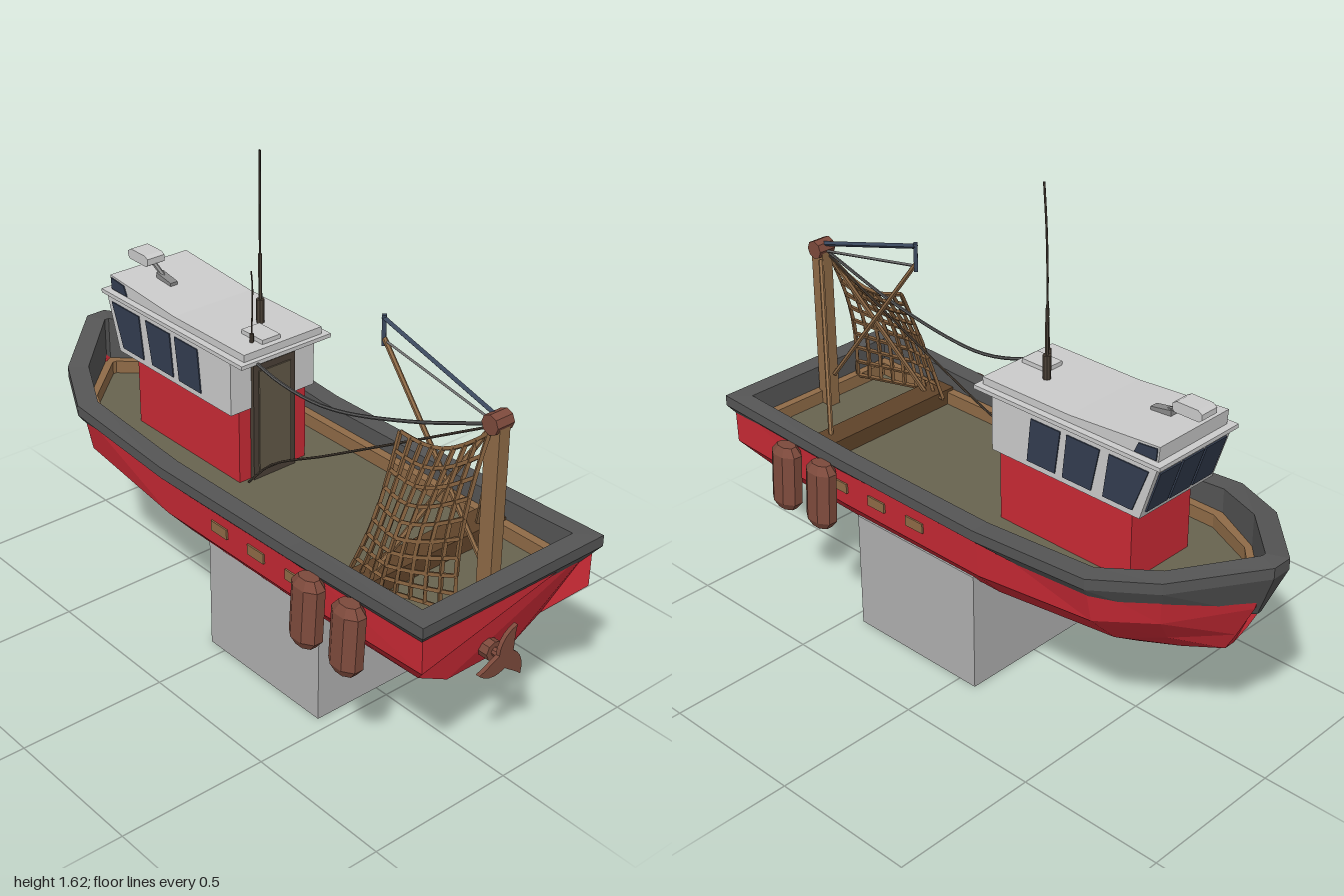
import * as THREE from 'three';

const RED = 0xc92a35, GREY = 0x555555, WOOD = 0x8f6b47, DARK = 0x4a4036, RUST = 0x7d4a3c,
  LIGHT = 0xbdbdbd, GLASS = 0x333d50, BLUE = 0x3a475c, NET = 0x7d5b3a;
const V = (x, y, z) => new THREE.Vector3(x, y, z);

export function createModel() {
  const model = new THREE.Group();

  const add = (name, geo, color, parent = model) => {
    const mat = new THREE.MeshStandardMaterial({ color, flatShading: true, side: THREE.DoubleSide });
    const mesh = new THREE.Mesh(geo, mat);
    mesh.name = name;
    parent.add(mesh);
    return mesh;
  };
  const group = (name) => {
    const g = new THREE.Group();
    g.name = name;
    model.add(g);
    return g;
  };
  // Box from its minimum and maximum corners
  const box = (name, [x0, y0, z0], [x1, y1, z1], color, parent) => add(name,
    new THREE.BoxGeometry(x1 - x0, y1 - y0, z1 - z0)
      .translate((x0 + x1) / 2, (y0 + y1) / 2, (z0 + z1) / 2), color, parent);
  // Straight bar between two points
  const bar = (name, a, b, r, color, parent, sides = 6) => {
    const geo = new THREE.CylinderGeometry(r, r, a.distanceTo(b), sides);
    const mesh = add(name, geo, color, parent);
    mesh.position.copy(a).lerp(b, 0.5);
    mesh.quaternion.setFromUnitVectors(V(0, 1, 0), b.clone().sub(a).normalize());
    return mesh;
  };
  const rope = (name, pts, r, color, parent) => add(name,
    new THREE.TubeGeometry(new THREE.CatmullRomCurve3(pts), 24, r, 6), color, parent);
  // Side profile of [z, y] points, extruded from x0 to x1
  const profile = (name, pts, x0, x1, color, parent) => add(name,
    new THREE.ExtrudeGeometry(new THREE.Shape(pts.map(p => new THREE.Vector2(...p))),
      { depth: x1 - x0, bevelEnabled: false }).rotateY(-Math.PI / 2).translate(x1, 0, 0), color, parent);
  // Skin over a row of closed rings, either looped or capped at the ends
  const skin = (rings, loop) => {
    const pos = [], n = rings[0].length;
    const tri = (...pts) => pts.forEach(p => pos.push(p.x, p.y, p.z));
    const count = loop ? rings.length : rings.length - 1;
    for (let i = 0; i < count; i++) {
      const a = rings[i], b = rings[(i + 1) % rings.length];
      for (let j = 0; j < n; j++) {
        const k = (j + 1) % n;
        tri(a[j], b[j], b[k]);
        tri(a[j], b[k], a[k]);
      }
    }
    if (!loop) for (const r of [rings[0], [...rings.at(-1)].reverse()])
      for (let j = 1; j < n - 1; j++) tri(r[0], r[j], r[j + 1]);
    const geo = new THREE.BufferGeometry();
    geo.setAttribute('position', new THREE.Float32BufferAttribute(pos, 3));
    geo.computeVertexNormals();
    return geo;
  };

  // Display block
  box('standBlock', [-0.24, 0, -0.067], [0.275, 0.412, 0.455], 0xb0b0b0);

  // Hull: each station runs sheer, upper chine, lower chine, keel edge
  const stations = [
    [[.335, .65, .98], [.332, .51, .98], [.245, .4, .88], [.13, .34, .88]],
    [[.345, .64, .45], [.335, .488, .45], [.245, .385, .45], [.125, .315, .45]],
    [[.345, .635, -.15], [.335, .485, -.15], [.245, .385, -.15], [.125, .312, -.15]],
    [[.345, .66, -.58], [.315, .52, -.58], [.21, .41, -.58], [.1, .34, -.58]],
    [[.25, .69, -.78], [.225, .55, -.76], [.15, .45, -.73], [.07, .375, -.72]],
    [[.035, .725, -.97], [.03, .59, -.94], [.025, .47, -.88], [.02, .4, -.84]],
  ];
  const hullRings = stations.map(s => [
    ...s.map(([x, y, z]) => V(x, y, z)), ...[...s].reverse().map(([x, y, z]) => V(-x, y, z))]);
  const hullGeo = skin(hullRings, false);
  // Drop the lid between the two sheer lines so the deck well stays open
  const all = hullGeo.getAttribute('position').array, kept = [];
  const strips = stations.length - 1;
  for (let t = 0; t < all.length / 9; t++) {
    const lid = t < strips * 16 && Math.floor((t % 16) / 2) === 7;
    if (!lid) kept.push(...all.slice(t * 9, t * 9 + 9));
  }
  hullGeo.setAttribute('position', new THREE.Float32BufferAttribute(kept, 3));
  hullGeo.computeVertexNormals();
  add('hull', hullGeo, RED);

  // Rail outline: outer x, z, inner x, z, top y
  const DECK = 0.56;
  const half = [
    [.355, 1, .295, .935, .682], [.357, .45, .295, .45, .662], [.36, -.15, .295, -.15, .656],
    [.36, -.59, .295, -.57, .688], [.26, -.79, .205, -.75, .715], [.035, -1, .008, -.935, .755]];
  const outline = [...half, ...[...half].reverse().map(([a, b, c, d, y]) => [-a, b, -c, d, y])];
  add('bulwarkRail', skin(outline.map(([xo, zo, xi, zi, y]) => [
    V(xo, y, zo), V(xo, y - .036, zo), V(xi, DECK, zi), V(xi, y, zi)]), true), GREY);
  add('innerTrim', skin(outline.map(([, , x, z]) => {
    const xi = x * 0.9, zi = z > 0.9 ? z - .028 : z < -.9 ? z + .035 : z + (z < -.5 ? .012 : 0);
    return [V(x, .605, z), V(x, DECK, z), V(xi, DECK, zi), V(xi, .605, zi)];
  }), true), WOOD);
  const deckShape = new THREE.Shape(outline.map(([, , x, z]) => new THREE.Vector2(x, -z)));
  add('deck', new THREE.ShapeGeometry(deckShape).rotateX(-Math.PI / 2).translate(0, DECK, 0), 0x68634f);
  box('deckBeam', [-.293, DECK, .59], [.293, .615, .68], 0x5f4329);

  // Wheelhouse
  const cabin = group('wheelhouse');
  box('cabinBase', [-.13, DECK, -.57], [.135, .815, -.05], RED, cabin);
  profile('cabinUpper', [[-.045, .81], [-.62, .81], [-.68, .997], [-.045, .997]], -.165, .165, LIGHT, cabin);
  profile('roofEave', [[.022, .995], [-.695, .995], [-.695, 1.008], [.022, 1.008]], -.175, .175, 0xcccccc, cabin);
  profile('roofTop', [[.005, 1], [-.67, 1], [-.675, 1.057], [-.34, 1.032], [.005, 1.032]],
    -.152, .152, 0xcccccc, cabin);
  box('doorFrame', [-.085, DECK, -.06], [.08, .957, -.034], DARK, cabin);
  box('doorPanel', [-.065, .585, -.05], [.06, .935, -.029], 0x615747, cabin);
  // Side panes lean further towards the bow: bottom pair and top pair of z
  const panes = [[-.19, -.3, -.205, -.32], [-.33, -.44, -.345, -.47], [-.485, -.595, -.505, -.65]];
  for (const s of [-1, 1]) {
    for (const [a, b, c, d] of panes)
      profile('sideWindow', [[a, .83], [b, .83], [d, .975], [c, .975]], s * .166 - .003, s * .166 + .003, GLASS, cabin);
    profile('roofSidePanel', [[-.585, 1.012], [-.665, 1.012], [-.668, 1.05], [-.6, 1.044]],
      s * .153 - .003, s * .153 + .003, GLASS, cabin);
  }
  for (const x of [-.102, 0, .102])
    profile('frontWindow', [[-.62, .83], [-.632, .83], [-.678, .972], [-.66, .972]], x - .046, x + .046, GLASS, cabin);

  // Roof fittings
  const fittings = group('roofFittings');
  box('roofHatch', [-.065, 1.03, -.115], [.005, 1.046, -.015], LIGHT, fittings);
  profile('lampFoot', [[-.5, 1.035], [-.575, 1.04], [-.575, 1.068], [-.5, 1.055]], -.043, -.015, 0x8a8a8a, fittings);
  bar('lampArm', V(-.029, 1.055, -.55), V(-.029, 1.095, -.62), .008, 0x8a8a8a, fittings);
  profile('lampHead', [[-.595, 1.088], [-.605, 1.082], [-.69, 1.082], [-.7, 1.09], [-.7, 1.108],
    [-.685, 1.118], [-.61, 1.118], [-.595, 1.11]], -.062, .005, LIGHT, fittings);
  bar('aerialBase', V(.03, 1.02, -.14), V(.03, 1.11, -.14), .013, DARK, fittings, 8);
  bar('aerialCollar', V(.03, 1.1, -.14), V(.03, 1.26, -.14), .006, DARK, fittings);
  rope('tallAerial', [V(.03, 1.22, -.14), V(.028, 1.36, -.138), V(.012, 1.5, -.118), V(-.02, 1.62, -.078)],
    .0035, DARK, fittings);
  bar('smallAerialBase', V(-.078, 1.02, -.05), V(-.078, 1.06, -.05), .007, DARK, fittings);
  rope('smallAerial', [V(-.078, 1.05, -.05), V(-.077, 1.15, -.047), V(-.083, 1.22, -.038), V(-.1, 1.28, -.022)],
    .0025, DARK, fittings);

  // Net gantry
  const gantry = group('gantry');
  box('mastPost', [-.02, DECK, .866], [.02, 1.13, .92], WOOD, gantry);
  bar('mastCap', V(-.032, 1.133, .893), V(.032, 1.133, .893), .031, RUST, gantry, 8);
  bar('boomUpper', V(0, 1.15, .88), V(0, 1.272, .44), .0085, BLUE, gantry, 4);
  bar('boomLower', V(0, 1.125, .88), V(0, 1.205, .44), .005, 0x6b6b6b, gantry, 4);
  bar('boomTip', V(0, 1.187, .443), V(0, 1.282, .443), .009, BLUE, gantry, 4);
  bar('boomBrace', V(0, 1.21, .445), V(0, .68, .86), .008, WOOD, gantry);
  for (const s of [-1, 1])
    bar('strut', V(s * .02, 1.1, .875), V(s * .215, .6, .64), .0085, WOOD, gantry);

  // Rigging
  rope('sternRope', [V(-.01, 1.12, .87), V(-.035, 1.02, .6), V(-.065, .955, .35), V(-.08, .945, .22),
    V(-.1, .968, .09), V(-.115, 1, .015)], .0055, GREY, gantry);
  rope('deckRope', [V(-.01, 1.11, .87), V(-.04, .93, .55), V(-.07, .78, .28), V(-.095, .66, .06), V(-.11, .565, -.03)],
    .004, DARK, gantry);

  // Hanging net: strips between points of a sagging sheet
  const net = group('fishingNet');
  const N = 8;
  const sheet = (u, v) => {
    const top = V(-.025 - .07 * u, 1.1 - .08 * u - .05 * Math.sin(Math.PI * u), .885 - .265 * u);
    const foot = V(-.15 - .08 * Math.min(1, u * 1.6), .6, .915 - .34 * u);
    const p = top.lerp(foot, v), belly = Math.sin(Math.PI * v);
    p.x -= belly * (.035 + .025 * Math.sin(Math.PI * u));
    p.z += belly * .045 * u;
    return p;
  };
  for (let i = 0; i <= N; i++) for (let j = 0; j <= N + 1; j++) {
    const p = sheet(i / N, j / (N + 1));
    if (i < N) bar('netCross', p, sheet((i + 1) / N, j / (N + 1)), .0075, NET, net, 4);
    if (j <= N) bar('netDrop', p, sheet(i / N, (j + 1) / (N + 1)), .0075, NET, net, 4);
  }

  // Fenders and scuppers on both sides
  const fenderProfile = [[0, -.112], [.036, -.112], [.058, -.085], [.058, .085], [.036, .112], [0, .112]]
    .map(p => new THREE.Vector2(...p));
  for (const s of [-1, 1]) {
    for (const z of s > 0 ? [.67, .503] : [.735, .565]) {
      const f = add('fender', new THREE.LatheGeometry(fenderProfile, 8).rotateY(Math.PI / 8).scale(.72, 1, 1.03), RUST);
      f.position.set(s * .382, .522, z);
      f.rotation.z = s * .05;
    }
    for (const z of [.46, .288, .117])
      box('scupper', [s * .341 - .005, .538, z - .037], [s * .341 + .005, .572, z + .037], WOOD);
  }

  // Propeller
  const prop = group('propeller');
  bar('propellerShaft', V(0, .408, .85), V(0, .408, .975), .014, RUST, prop, 8);
  bar('propellerHub', V(0, .408, .87), V(0, .408, .935), .032, RUST, prop, 8);
  const blade = new THREE.Shape();
  blade.moveTo(-.025, 0);
  blade.bezierCurveTo(-.035, .04, -.01, .085, .04, .098);
  blade.bezierCurveTo(.03, .06, .035, .03, .025, -.01);
  for (let i = 0; i < 3; i++) {
    const b = add('propellerBlade', new THREE.ExtrudeGeometry(blade,
      { depth: .014, bevelEnabled: false, curveSegments: 6 }), RUST, prop);
    b.position.set(0, .408, .965);
    b.rotation.z = i * Math.PI * 2 / 3;
  }
  return model;
}
